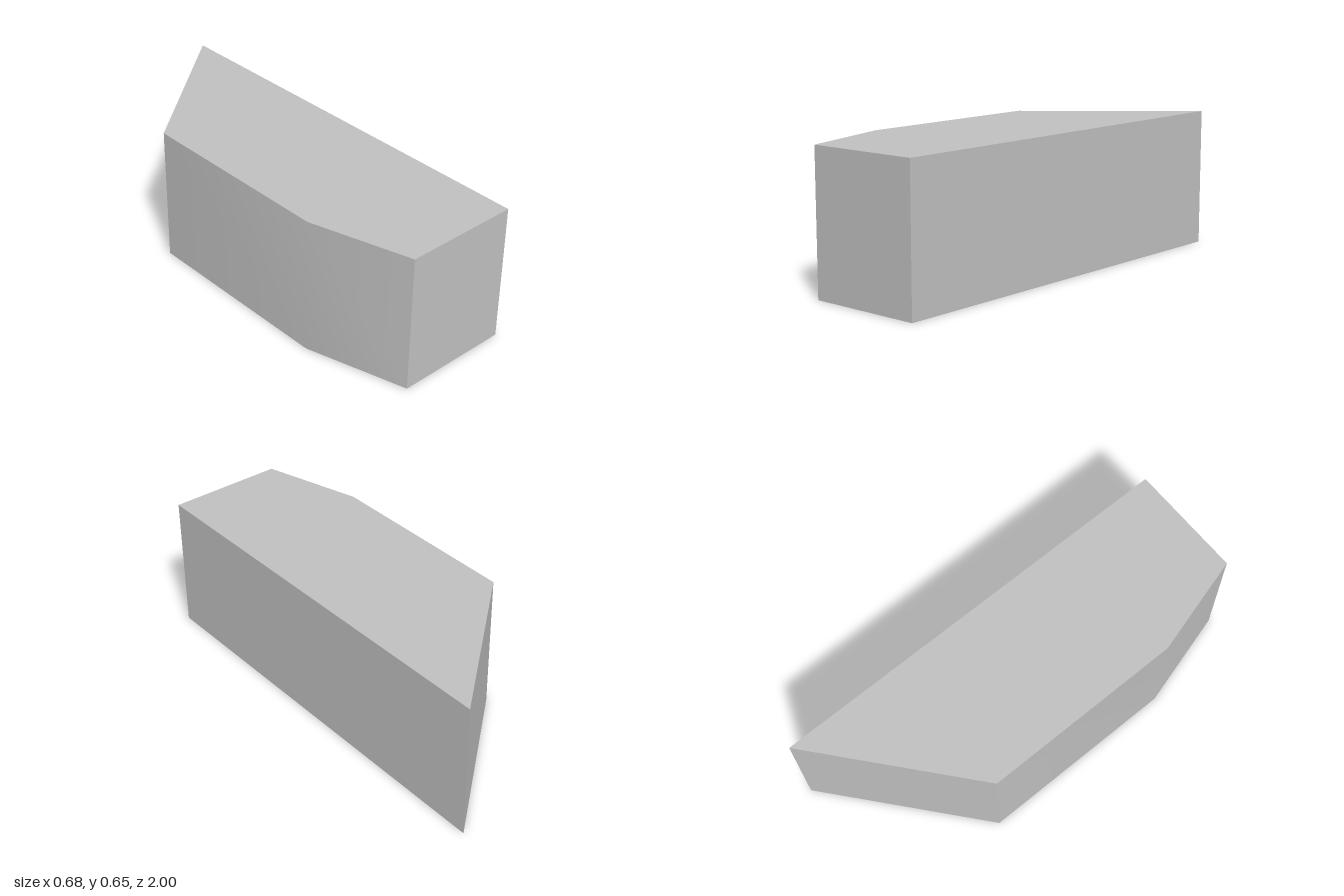
import * as THREE from 'three';
import { toCreasedNormals } from 'three/addons/utils/BufferGeometryUtils.js';

export function createModel() {
  const group = new THREE.Group();
  const grey = new THREE.MeshStandardMaterial({ color: 0xc0c0c0 });
  grey.name = 'grey';

  // Floor outline as (x, z), extruded straight up
  const outline = [
    [-0.205, 1], [0.34, 1], [0.34, -1], [-0.34, -0.425], [-0.34, 0.53],
  ].map(([x, z]) => new THREE.Vector2(x, -z));
  const prism = new THREE.ExtrudeGeometry(new THREE.Shape(outline), {
    depth: 0.648, bevelEnabled: false,
  });
  prism.rotateX(-Math.PI / 2);

  // The shallow side bend is shaded smooth, all other edges stay sharp
  const block = new THREE.Mesh(toCreasedNormals(prism, Math.PI / 6), grey);
  block.name = 'block';
  group.add(block);
  return group;
}
